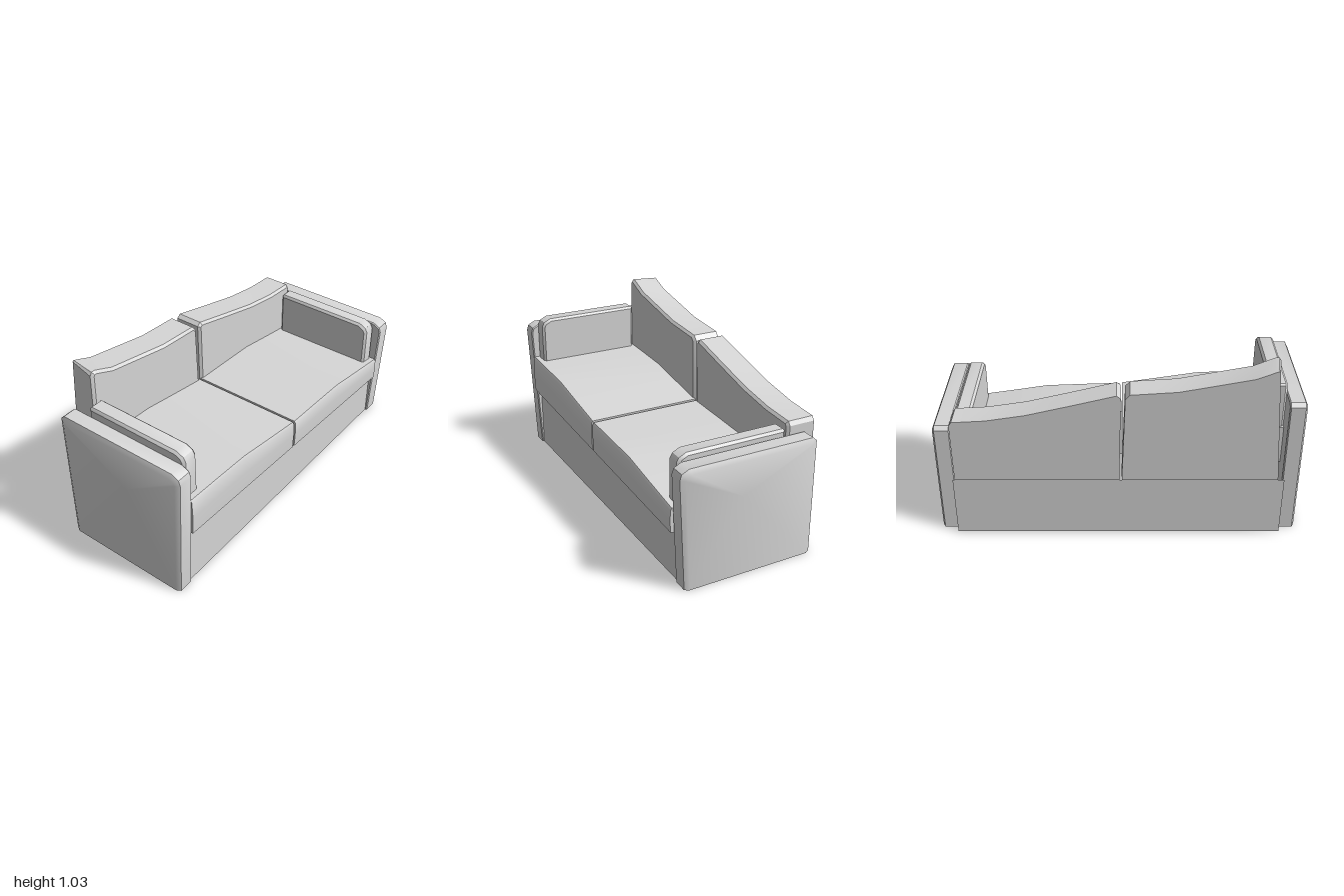
import * as THREE from 'three';
import { toCreasedNormals } from 'three/addons/utils/BufferGeometryUtils.js';

const fabric = new THREE.MeshStandardMaterial({ color: 0xd6d6d6, side: THREE.DoubleSide });
fabric.name = 'grey fabric';

// Skin between open rings of [x, y, z]; every part is hollow and open below.
function loft(name, rings, caps = true) {
  const pos = [];
  const tri = (a, b, c) => pos.push(...a, ...b, ...c);
  const n = rings[0].length;
  for (let r = 0; r + 1 < rings.length; r++) {
    for (let i = 0; i + 1 < n; i++) {
      const A = rings[r], B = rings[r + 1];
      tri(A[i], A[i + 1], B[i + 1]);
      tri(A[i], B[i + 1], B[i]);
    }
  }
  const cap = (ring, flip) => {
    const mid = [0, 1, 2].map(k => ring.reduce((s, p) => s + p[k], 0) / n);
    ring.forEach((p, i) => {
      const q = ring[(i + 1) % n];
      if (flip) tri(mid, q, p); else tri(mid, p, q);
    });
  };
  if (caps) {
    cap(rings[0], true);
    cap(rings[rings.length - 1], false);
  }
  const geo = new THREE.BufferGeometry();
  geo.setAttribute('position', new THREE.Float32BufferAttribute(pos, 3));
  const mesh = new THREE.Mesh(toCreasedNormals(geo, 0.55), fabric);
  mesh.name = name;
  return mesh;
}

// Shrink a counter-clockwise outline by d, keeping its lowest edge at the same height.
function inset(pts, d) {
  const low = Math.min(...pts.map(p => p[1]));
  const unit = (p, q) => {
    const l = Math.hypot(q[0] - p[0], q[1] - p[1]);
    return [(q[0] - p[0]) / l, (q[1] - p[1]) / l];
  };
  return pts.map((p, i) => {
    const e = unit(pts.at(i - 1), p), f = unit(p, pts[(i + 1) % pts.length]);
    const s = d / (1 + e[0] * f[0] + e[1] * f[1]);
    return [p[0] - (e[1] + f[1]) * s, p[1] <= low + 1e-6 ? p[1] : p[1] + (e[0] + f[0]) * s];
  });
}

// Side-outline block, outline in (z, y); levels are [x, inset] pairs.
function sideBlock(name, outline, levels) {
  return loft(name, levels.map(([x, d]) => inset(outline, d).map(([z, y]) => [x, y, z])));
}

// Armrest wall: leans forward a little, soft outer rim, nearly square inner rim
function arm(name, side, h) {
  return sideBlock(name, [
    [0.385, 0], [0.416, h - 0.05], [0.406, h - 0.02], [0.365, h],
    [-0.345, h], [-0.367, h - 0.02], [-0.367, 0],
  ], [[0.902, 0.006], [0.908, 0], [0.986, 0], [1, 0.026]].map(([x, d]) => [side * x, d]));
}

// Cushion lying against the inside of an arm
function armPad(name, x0, x1, y0, y1) {
  return sideBlock(name, [
    [0.374, y0], [0.374, y1 - 0.045], [0.36, y1 - 0.02], [0.32, y1],
    [-0.235, y1], [-0.245, y1 - 0.01], [-0.245, y0],
  ], [[x0, 0.013], [x0 + 0.013, 0], [x1 - 0.013, 0], [x1, 0.013]]);
}

// Back cushion from (x, y) outlines: flat behind, chamfered in front
function backCushion(name, outline, rear = outline) {
  const ring = (pts, z) => pts.map(([x, y]) => [x, y, z]);
  return loft(name, [ring(rear, -0.415), ring(outline, -0.267), ring(inset(outline, 0.014), -0.253)]);
}

// Height of the slanting joint between the base and the seats
const joint = x => 0.33 - 0.05 * x;

// Seat cushion: top follows the (x, y) stations, narrow front bevel, lip tucked under to the base
function seat(name, stations) {
  return loft(name, stations.map(([x, t]) => {
    const b = joint(x);
    return [
      [0.374, b - 0.007], [0.411, b], [0.415, (b + t) / 2], [0.412, t - 0.012], [0.405, t],
      [-0.26, t], [-0.26, b],
    ].map(([z, y]) => [x, y, z]);
  }));
}

// Thin upright panel between the arms, from the floor to a given height along x
function panel(name, z, height) {
  const ends = [-0.906, 0.906];
  return loft(name, [ends.map(x => [x, 0, z]), ends.map(x => [x, height(x), z])], false);
}

export function createModel() {
  const model = new THREE.Group();
  model.name = 'sofa';

  // Arms, tall on one side and low on the other
  model.add(
    arm('rightArm', -1, 0.81),
    arm('leftArm', 1, 0.665),
    armPad('rightArmPad', -0.905, -0.81, 0.585, 0.863),
    armPad('leftArmPad', 0.8, 0.89, 0.415, 0.693),
  );

  // Open base
  model.add(
    panel('frontPanel', 0.374, x => joint(x) - 0.007),
    panel('backPanel', -0.408, () => 0.355),
  );

  // Seats
  model.add(
    seat('rightSeat', [[-0.905, 0.6], [-0.69, 0.591], [-0.47, 0.58], [-0.25, 0.545], [-0.02, 0.51]]),
    seat('leftSeat', [[-0.005, 0.507], [0.22, 0.499], [0.44, 0.49], [0.66, 0.455], [0.893, 0.42]]),
  );

  // Back cushions; the tall one tapers inwards at its rear upper corner
  const tallTop = [[-0.018, 0.36], [-0.035, 0.865], [-0.06, 0.893], [-0.31, 0.91], [-0.7, 0.985]];
  model.add(
    backCushion('rightBackCushion',
      [...tallTop, [-0.815, 1.033], [-0.838, 1.033], [-0.85, 1.015], [-0.87, 0.36]],
      [...tallTop, [-0.8, 1.025], [-0.815, 1.03], [-0.822, 1.025], [-0.87, 0.36]]),
    backCushion('leftBackCushion', [
      [0.893, 0.36], [0.893, 0.705], [0.878, 0.727], [0.7, 0.737],
      [0.49, 0.77], [0.25, 0.828], [0.01, 0.888], [-0.012, 0.87], [-0.005, 0.36],
    ]),
  );
  return model;
}
